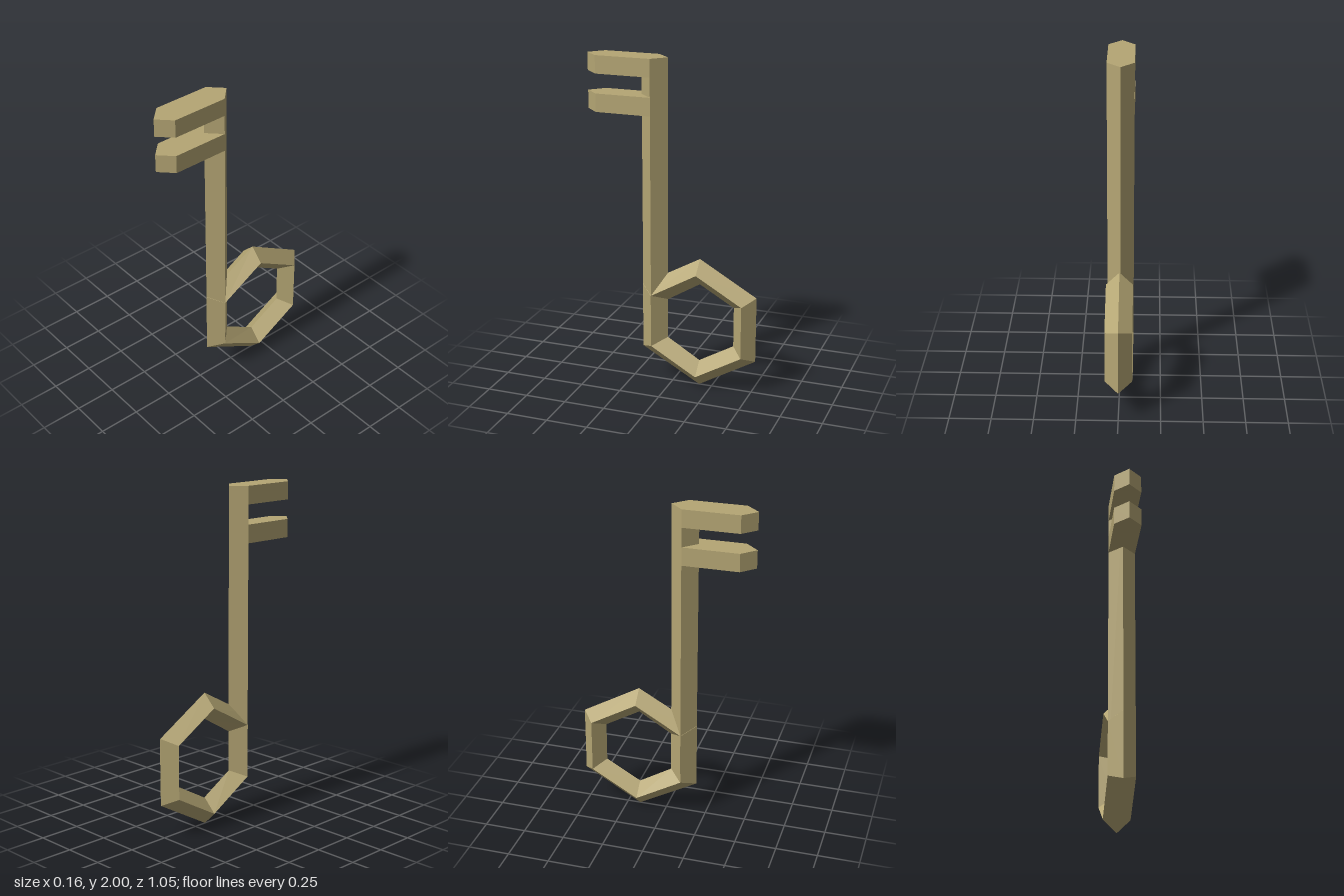
import * as THREE from 'three';

const R = 0.08;          // half-width of the diamond bar
const SHAFT_Z = 0.11;
const RING_Z = -0.171;
const RING_Y = 0.406;

export function createModel() {
  const key = new THREE.Group();
  key.name = 'key';
  const brass = new THREE.MeshStandardMaterial({ color: 0xb5a674, flatShading: true });
  brass.name = 'dull brass';

  const add = (name, geometry) => {
    const mesh = new THREE.Mesh(geometry, brass);
    mesh.name = name;
    key.add(mesh);
  };

  // Hexagonal bow with a diamond section; its front side widens to match the shaft
  const bow = new THREE.TorusGeometry(0.326, R, 4, 6);
  bow.rotateZ(Math.PI / 6).rotateY(Math.PI / 2).translate(0, RING_Y, RING_Z);
  const bp = bow.attributes.position;
  for (let i = 0; i < bp.count; i++) {
    const z = bp.getZ(i);
    if (z > 0) bp.setZ(i, SHAFT_Z + (z - SHAFT_Z) / Math.cos(Math.PI / 6));
  }
  add('bow', bow);

  // Shaft: four-sided bar with its lower end mitred into the bow
  const bottom = 0.243;
  const shaft = new THREE.CylinderGeometry(R, R, 2 - bottom, 4);
  shaft.translate(0, (2 + bottom) / 2, SHAFT_Z);
  const sp = shaft.attributes.position;
  for (let i = 0; i < sp.count; i++) {
    if (sp.getY(i) < 1) sp.setY(i, bottom - (sp.getZ(i) - SHAFT_Z) * 0.5);
  }
  add('shaft', shaft);

  // Two teeth: bars pointed at both ends, drawn in plan (shape y = -z)
  const back = SHAFT_Z - R, tip = 0.525;
  const plan = new THREE.Shape([
    [0, -back], [-R, -back - R], [-R, -tip + R], [0, -tip], [R, -tip + R], [R, -back - R],
  ].map(([x, y]) => new THREE.Vector2(x, y)));
  for (const [name, low, high] of [['upperTooth', 1.893, 2], ['lowerTooth', 1.668, 1.777]]) {
    const tooth = new THREE.ExtrudeGeometry(plan, { depth: high - low, bevelEnabled: false });
    tooth.rotateX(-Math.PI / 2).translate(0, low, 0);
    add(name, tooth);
  }
  return key;
}
